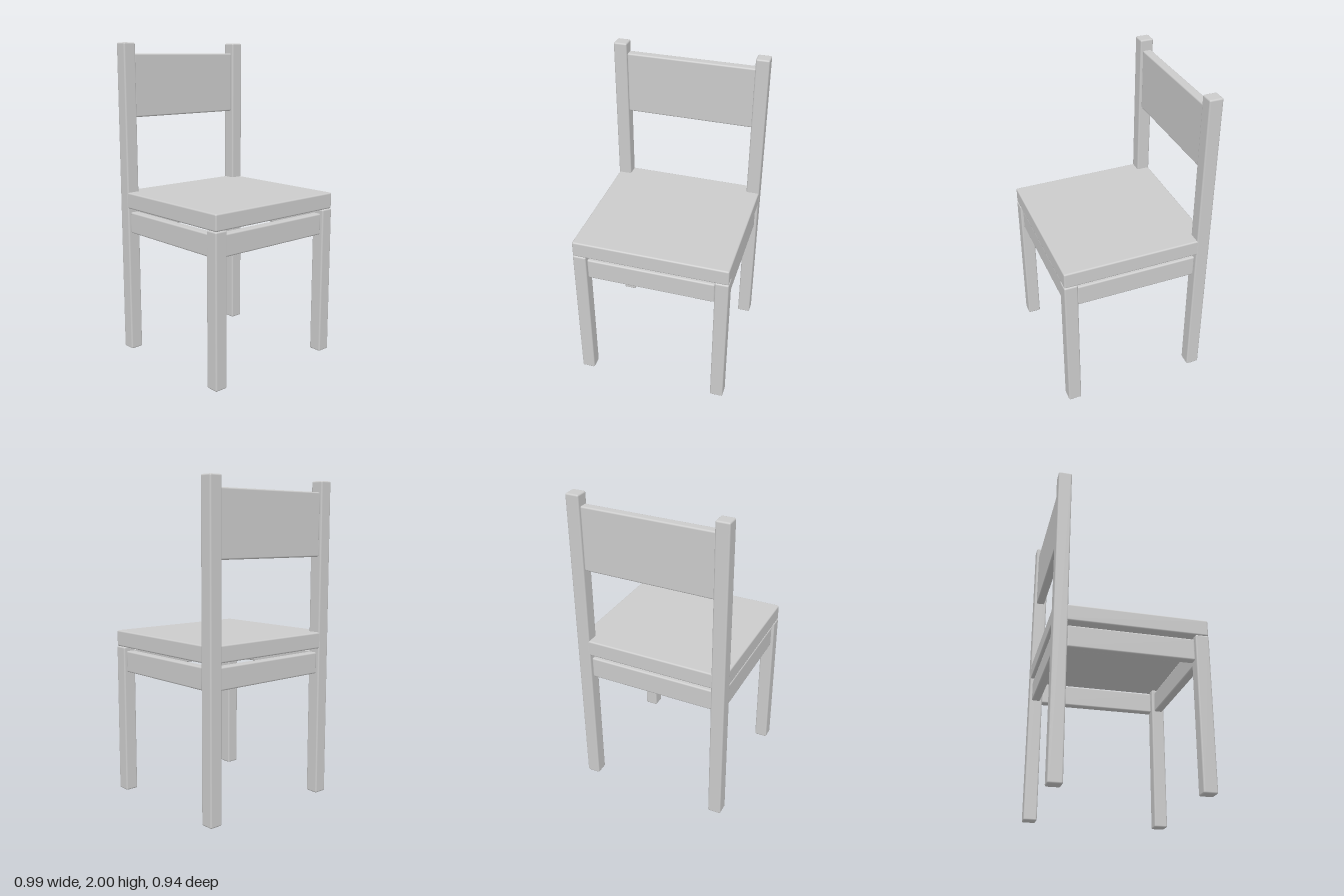
import * as THREE from 'three';
import { RoundedBoxGeometry } from 'three/addons/geometries/RoundedBoxGeometry.js';

export function createModel() {
  const chair = new THREE.Group();
  chair.name = 'chair';
  const material = new THREE.MeshStandardMaterial({ color: 0xcccccc });

  // Board with softened edges, given by its extents on each axis
  const board = (name, [x0, x1], [y0, y1], [z0, z1], bevel = 0.01) => {
    const mesh = new THREE.Mesh(
      new RoundedBoxGeometry(x1 - x0, y1 - y0, z1 - z0, 2, bevel), material);
    mesh.position.set((x0 + x1) / 2, (y0 + y1) / 2, (z0 + z1) / 2);
    mesh.name = name;
    chair.add(mesh);
  };
  const around = (c, half) => [c - half, c + half];

  const legX = 0.45, legZ = 0.428, legHalf = 0.0425;
  const railHalf = 0.028, railY = [0.795, 0.932];

  // Seat slab
  board('seat', around(0, 0.491), [0.957, 1.06], around(0, 0.469));

  // Legs and side rails, mirrored left and right
  for (const [side, s] of [['left', 1], ['right', -1]]) {
    board(`${side}FrontLeg`, around(s * legX, legHalf), [0, 0.957], around(legZ, legHalf));
    board(`${side}BackPost`, around(s * legX, legHalf), [0, 2], around(-legZ, legHalf));
    board(`${side}Rail`, around(s * legX, railHalf), railY, around(0, 0.384));
  }

  // Front and back rails under the seat
  board('frontRail', around(0, 0.405), railY, around(legZ, railHalf));
  board('backRail', around(0, 0.405), railY, around(-legZ, railHalf));

  // Backrest panel between the posts
  board('backrest', around(0, 0.41), [1.535, 1.932], around(-legZ, railHalf));

  return chair;
}
